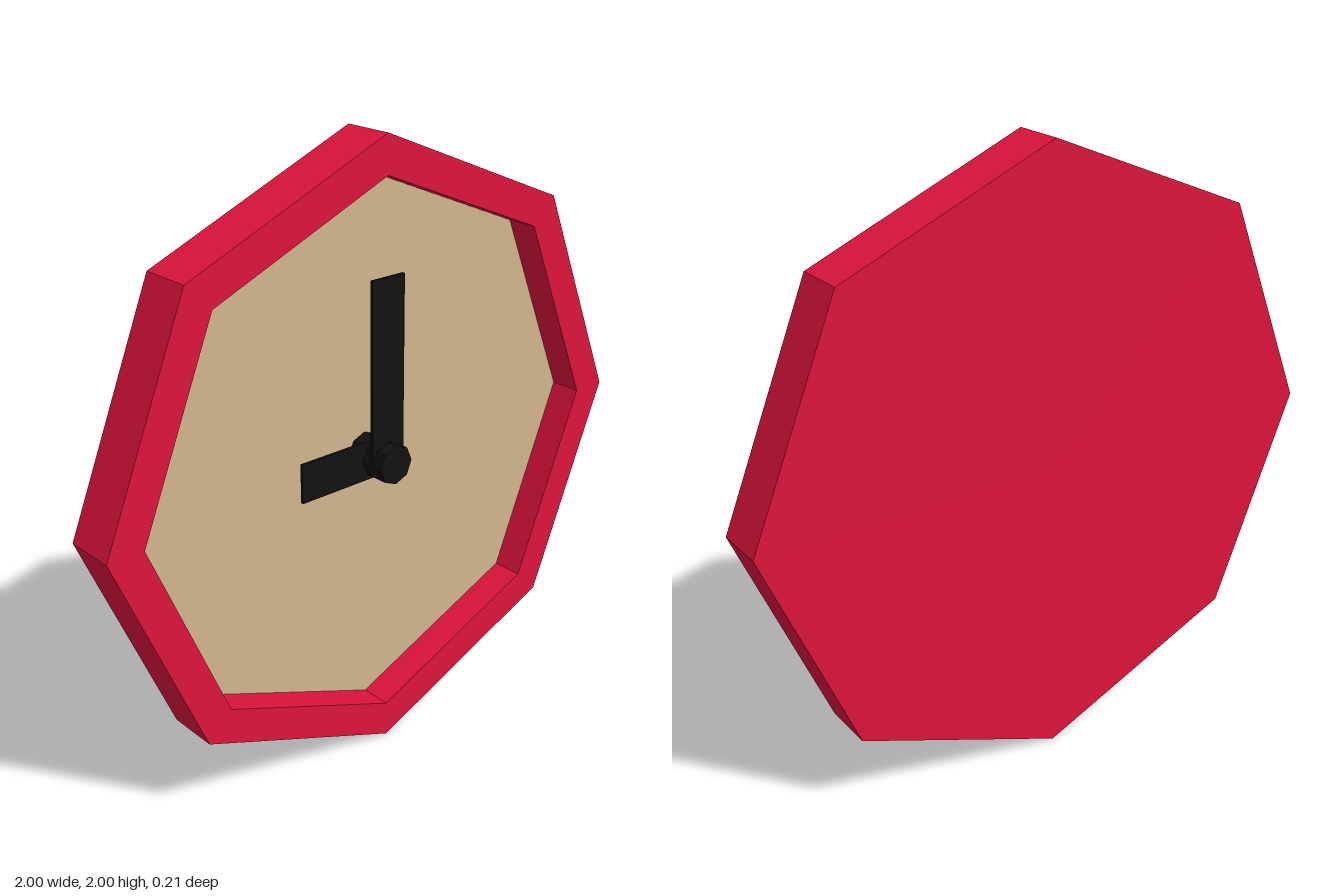
import * as THREE from 'three';

const SIDES = 8;
const BACK = -0.105, RIM = 0.065, FACE = -0.04, PIN = 0.105;

export function createModel() {
  const clock = new THREE.Group();
  clock.name = 'wallClock';
  clock.position.y = 1;

  const red = new THREE.MeshStandardMaterial({ color: 0xdc143c, flatShading: true });
  const tan = new THREE.MeshStandardMaterial({ color: 0xd2b48c, flatShading: true });
  const black = new THREE.MeshStandardMaterial({ color: 0x111111, flatShading: true });

  function add(name, geometry, material, x = 0, y = 0, z = 0) {
    const mesh = new THREE.Mesh(geometry, material);
    mesh.name = name;
    mesh.position.set(x, y, z);
    clock.add(mesh);
    return mesh;
  }

  // Octagonal case: back plate, outer wall, front rim and inner wall in one profile
  const profile = [[0, BACK], [1, BACK], [1, RIM], [0.88, RIM], [0.88, FACE]]
    .map(([r, z]) => new THREE.Vector2(r, z));
  add('case', new THREE.LatheGeometry(profile, SIDES).rotateX(Math.PI / 2), red);

  // Recessed dial
  add('dial', new THREE.CircleGeometry(0.88, SIDES), tan, 0, 0, FACE);

  // Centre pin, standing on the dial and carrying both hands
  const pin = new THREE.CylinderGeometry(0.064, 0.064, PIN - FACE, SIDES).rotateX(Math.PI / 2);
  add('centrePin', pin, black, 0, 0, (PIN + FACE) / 2);

  // Thin hands at nine o'clock
  add('minuteHand', new THREE.BoxGeometry(0.126, 0.585, 0.01), black, 0, 0.2925, 0.064);
  add('hourHand', new THREE.BoxGeometry(0.3, 0.126, 0.01), black, -0.15, 0, 0.02);

  const model = new THREE.Group();
  model.add(clock);
  return model;
}
